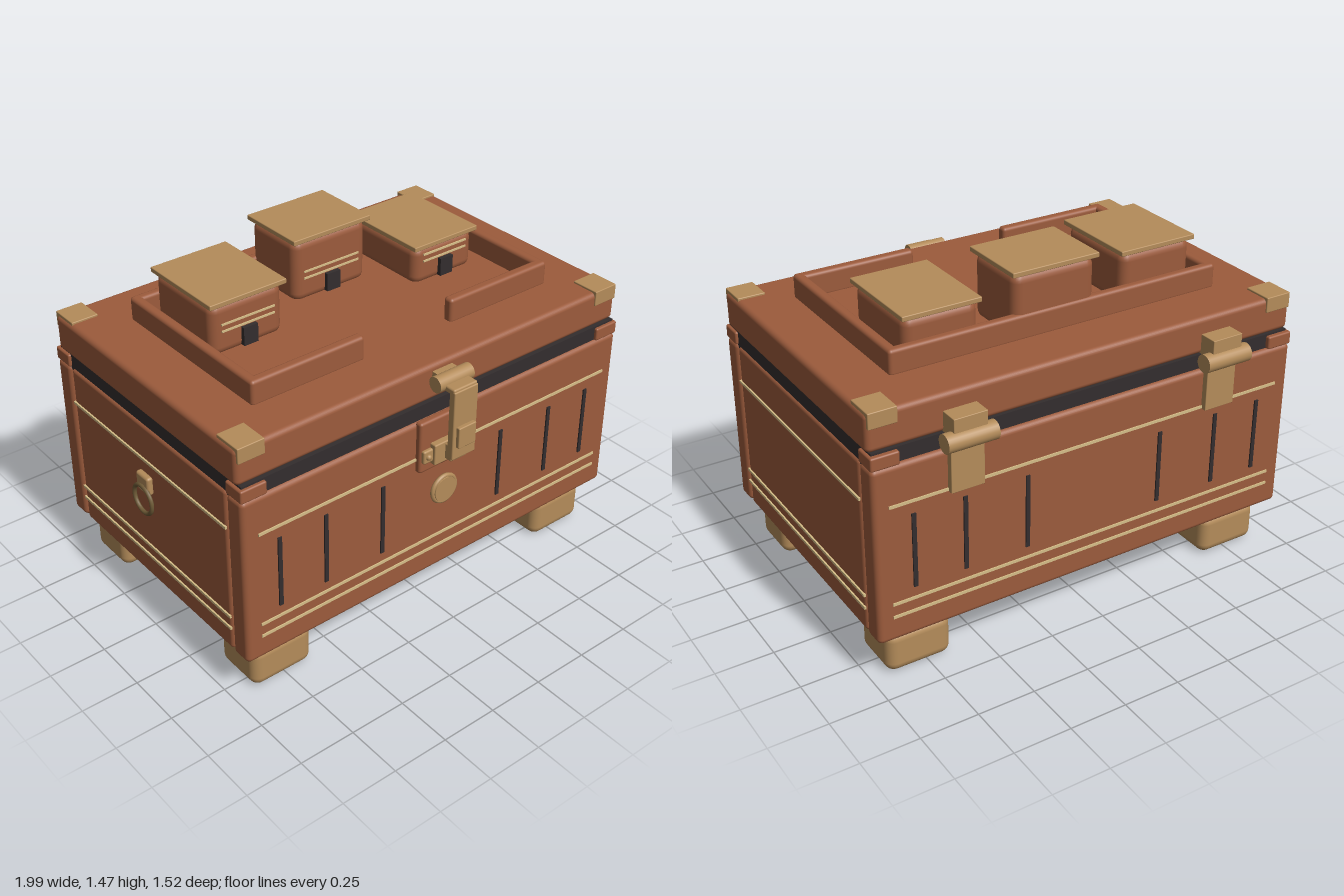
import * as THREE from 'three';
import { RoundedBoxGeometry } from 'three/addons/geometries/RoundedBoxGeometry.js';

const material = (name, color) => {
  const m = new THREE.MeshStandardMaterial({ color });
  m.name = name;
  return m;
};

export function createModel() {
  const root = new THREE.Group();
  root.name = 'chest';
  const leather = material('brown leather', 0x9c5b3c);
  const brass = material('tan brass', 0xb48c5a);
  const dark = material('dark trim', 0x332d2e);
  const thread = material('pale stitching', 0xd6be88);
  const iron = material('dark brass', 0x6e5a36);

  const add = (name, geometry, mat, parent = root) => {
    const mesh = new THREE.Mesh(geometry, mat);
    mesh.name = name;
    parent.add(mesh);
    return mesh;
  };
  // Box given by its minimum and maximum on each axis, with optional rounding
  const box = (name, mat, x0, x1, y0, y1, z0, z1, r = 0, parent = root) => {
    const size = [x1 - x0, y1 - y0, z1 - z0];
    const geometry = r
      ? new RoundedBoxGeometry(...size, 3, Math.min(r, Math.min(...size) * 0.49))
      : new THREE.BoxGeometry(...size);
    const mesh = add(name, geometry, mat, parent);
    mesh.position.set((x0 + x1) / 2, (y0 + y1) / 2, (z0 + z1) / 2);
    return mesh;
  };
  // Cylinder lying along x
  const barrel = (name, x0, x1, y, z, r, parent = root) => {
    const mesh = add(name, new THREE.CylinderGeometry(r, r, x1 - x0, 24), brass, parent);
    mesh.rotation.z = Math.PI / 2;
    mesh.position.set((x0 + x1) / 2, y, z);
    return mesh;
  };

  // Chest body: front and back panels with side panels between them
  box('frontPanel', leather, -0.968, 0.992, 0.21, 0.978, 0.53, 0.63, 0.022);
  box('backPanel', leather, -0.968, 0.992, 0.21, 0.978, -0.68, -0.58, 0.022);
  box('leftPanel', leather, 0.89, 0.988, 0.21, 0.975, -0.575, 0.525, 0.018);
  box('rightPanel', leather, -0.964, -0.866, 0.21, 0.975, -0.575, 0.525, 0.018);
  box('core', leather, -0.93, 0.95, 0.215, 0.97, -0.64, 0.59);
  box('basePlate', leather, -0.89, 0.907, 0.175, 0.23, -0.588, 0.54, 0.01);

  // Feet
  for (const [x0, x1] of [[-0.906, -0.618], [0.644, 0.928]])
    for (const [z0, z1] of [[0.34, 0.58], [-0.625, -0.384]])
      box('foot', brass, x0, x1, 0.005, 0.19, z0, z1, 0.042);

  // Dark seam under the lid, with corner blocks
  box('darkSeam', dark, -0.955, 0.98, 0.96, 1.04, -0.66, 0.615);
  for (const [x0, x1] of [[-0.968, -0.85], [0.872, 0.992]])
    for (const [z0, z1] of [[0.53, 0.63], [-0.68, -0.58]])
      box('cornerBlock', leather, x0, x1, 0.975, 1.032, z0, z1, 0.008);

  // Lid and its corner caps
  box('lid', leather, -0.968, 0.992, 1.036, 1.195, -0.653, 0.604, 0.022);
  for (const [x0, x1] of [[-0.96, -0.84], [0.865, 0.985]])
    for (const [z0, z1] of [[0.48, 0.61], [-0.66, -0.53]])
      box('lidCorner', brass, x0, x1, 1.137, 1.204, z0, z1, 0.004);

  // Raised rails on the lid, open at the front
  const rail = (x0, x1, z0, z1) => box('rail', leather, x0, x1, 1.185, 1.295, z0, z1, 0.015);
  rail(-0.746, 0.773, -0.43, -0.388);
  rail(-0.746, -0.702, -0.43, 0.404);
  rail(0.729, 0.773, -0.43, 0.404);
  rail(-0.746, -0.21, 0.357, 0.404);
  rail(0.235, 0.773, 0.357, 0.404);

  // Three small pouches with flat brass covers: x0, x1, cover top, z0, z1
  for (const [x0, x1, top, z0, z1] of [
    [-0.67, -0.307, 1.425, -0.377, 0.038],
    [-0.158, 0.238, 1.478, -0.43, -0.108],
    [0.323, 0.67, 1.372, -0.345, 0.084],
  ]) {
    const pouch = new THREE.Group();
    pouch.name = 'pouch';
    root.add(pouch);
    const mid = (x0 + x1) / 2;
    const front = z1 - 0.012;
    box('pouchBody', leather, x0 + 0.01, x1 - 0.01, 1.18, top - 0.016, z0 + 0.008, front, 0.04, pouch);
    box('pouchCover', brass, x0, x1, top - 0.022, top, z0, z1, 0.004, pouch);
    for (const y of [1.29, 1.32])
      box('pouchStitch', thread, x0 + 0.055, x1 - 0.055, y - 0.004, y + 0.004, front - 0.003, front + 0.005, 0, pouch);
    box('pouchClasp', dark, mid - 0.034, mid + 0.034, 1.2, 1.28, front - 0.005, front + 0.018, 0, pouch);
  }

  // Stitch lines around the body
  for (const y of [0.81, 0.38, 0.322]) {
    const y0 = y - 0.006, y1 = y + 0.006;
    box('stitchFront', thread, -0.9, 0.928, y0, y1, 0.628, 0.635);
    box('stitchBack', thread, -0.9, 0.928, y0, y1, -0.685, -0.678);
    box('stitchLeft', thread, 0.986, 0.995, y0, y1, -0.572, 0.522);
    box('stitchRight', thread, -0.971, -0.962, y0, y1, -0.572, 0.522);
  }

  // Dark upright slots on front and back
  for (const x of [-0.805, -0.585, -0.302, 0.329, 0.607, 0.828]) {
    box('slotFront', dark, x - 0.009, x + 0.009, 0.43, 0.755, 0.627, 0.636);
    box('slotBack', dark, x - 0.009, x + 0.009, 0.43, 0.755, -0.686, -0.677);
  }

  // Front latch
  const latch = new THREE.Group();
  latch.name = 'latch';
  root.add(latch);
  box('latchBacking', leather, -0.136, 0.158, 0.75, 0.985, 0.62, 0.656, 0.012, latch);
  box('latchWings', brass, -0.128, 0.15, 0.8, 0.86, 0.65, 0.672, 0.008, latch);
  box('latchHolder', brass, -0.083, 0.1, 0.785, 0.88, 0.65, 0.685, 0.006, latch);
  box('latchCatch', brass, -0.03, 0.052, 0.8, 0.87, 0.68, 0.72, 0.005, latch);
  box('latchStrap', brass, -0.05, 0.072, 0.828, 1.14, 0.714, 0.747, 0.006, latch);
  box('latchTab', brass, -0.034, 0.056, 0.885, 0.98, 0.74, 0.764, 0.005, latch);
  box('latchNeck', brass, -0.05, 0.072, 1.122, 1.15, 0.66, 0.742, 0.008, latch);
  barrel('latchBarrel', -0.075, 0.1, 1.146, 0.66, 0.034, latch);
  box('latchLink', brass, -0.04, 0.062, 1.125, 1.167, 0.595, 0.65, 0, latch);
  for (const x of [-0.105, 0.127]) {
    const rivet = add('rivet', new THREE.SphereGeometry(0.013, 12, 8), brass, latch);
    rivet.position.set(x, 0.83, 0.672);
  }

  // Round boss under the latch
  const boss = add('boss', new THREE.CylinderGeometry(0.056, 0.06, 0.03, 32), brass);
  boss.rotation.x = Math.PI / 2;
  boss.position.set(0.012, 0.612, 0.64);
  const rim = add('bossRim', new THREE.TorusGeometry(0.06, 0.01, 8, 32), brass);
  rim.position.set(0.012, 0.612, 0.642);

  // Back hinges
  for (const x of [-0.582, 0.607]) {
    const hinge = new THREE.Group();
    hinge.name = 'hinge';
    root.add(hinge);
    barrel('hingeBarrel', x - 0.108, x + 0.108, 1.03, -0.72, 0.039, hinge);
    box('hingeUpperLeaf', brass, x - 0.072, x + 0.072, 1.03, 1.125, -0.732, -0.645, 0.003, hinge);
    box('hingeLowerLeaf', brass, x - 0.072, x + 0.072, 0.8, 1.03, -0.706, -0.675, 0.003, hinge);
  }

  // Ring pull on one side
  box('ringMount', brass, -0.99, -0.96, 0.665, 0.75, -0.075, 0.013, 0.012);
  const ring = add('ringPull', new THREE.TorusGeometry(0.064, 0.009, 10, 32), iron);
  ring.rotation.y = Math.PI / 2;
  ring.position.set(-0.991, 0.635, -0.028);

  return root;
}
